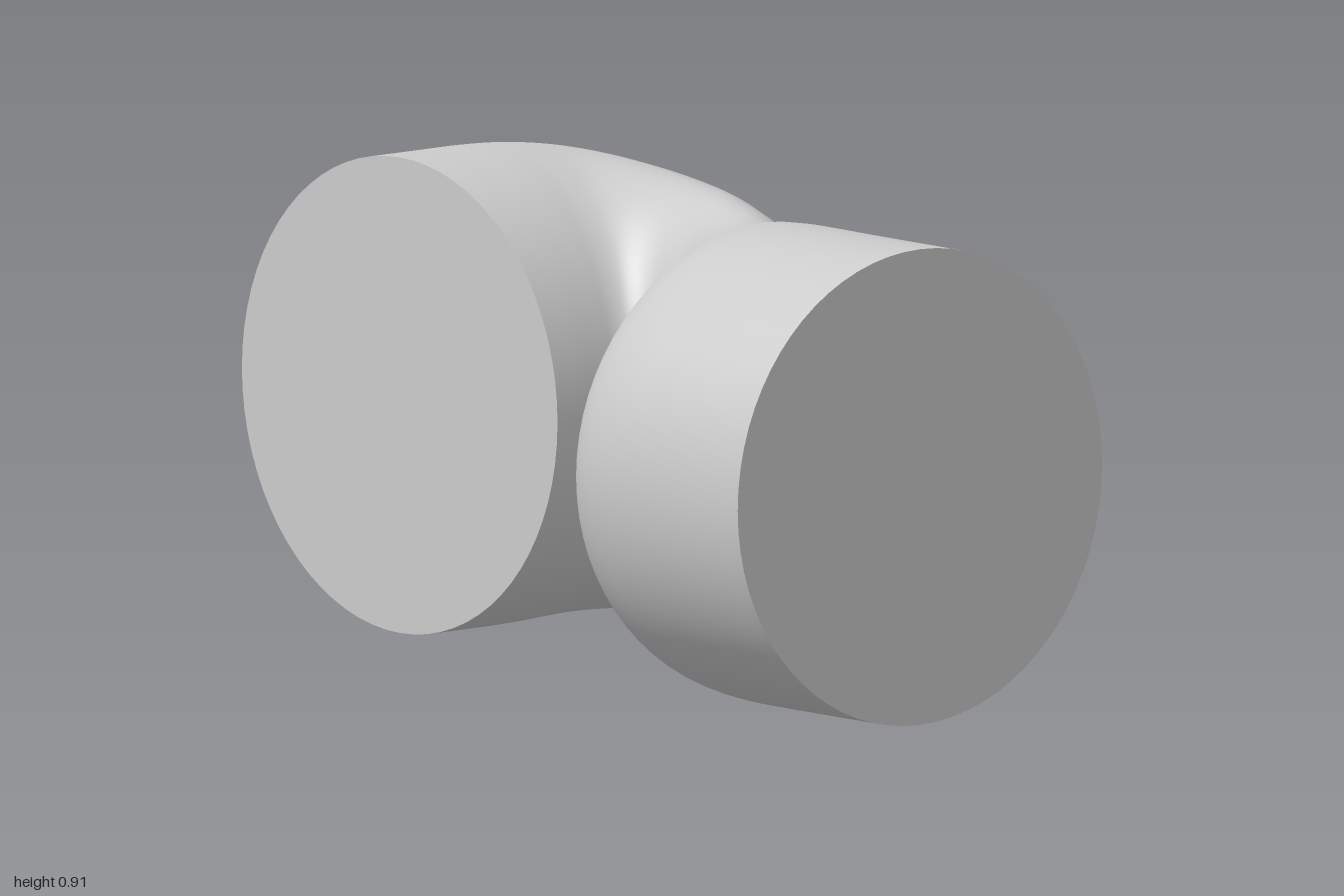
import * as THREE from 'three';

const MID = 0.4525; // height of the centre line
const SIDES = 72, STEPS = 120;

// Cross-sections seen from above: outer x, z, inner x, z, half height
const SECTIONS = [
  [-1, -0.21, -0.13, 0.04, 0.4525],
  [-0.965, -0.33, -0.112, -0.02, 0.4525],
  [-0.92, -0.49, -0.097, -0.075, 0.452],
  [-0.87, -0.635, -0.085, -0.11, 0.447],
  [-0.78, -0.745, -0.065, -0.128, 0.438],
  [-0.6, -0.775, -0.035, -0.133, 0.426],
  [-0.35, -0.735, 0, -0.12, 0.41],
  [-0.1, -0.63, 0.05, -0.085, 0.395],
  [0.1, -0.495, 0.105, 0, 0.385],
  [0.25, -0.365, 0.15, 0.13, 0.39],
  [0.4, -0.275, 0.185, 0.28, 0.41],
  [0.55, -0.225, 0.21, 0.43, 0.433],
  [0.68, -0.19, 0.25, 0.56, 0.447],
  [0.78, -0.16, 0.33, 0.64, 0.452],
  [0.88, -0.132, 0.5, 0.697, 0.4525],
  [1, -0.1, 0.745, 0.765, 0.4525],
];

const spline = (pick) => new THREE.CatmullRomCurve3(SECTIONS.map(pick), false, 'catmullrom', 0.5);
const outer = spline((s) => new THREE.Vector3(s[0], s[4], s[1]));
const inner = spline((s) => new THREE.Vector3(s[2], s[4], s[3]));

// Upright elliptical ring at t along the pipe
function ring(t) {
  const o = outer.getPoint(t), n = inner.getPoint(t), h = o.y;
  const c = o.clone().add(n).multiplyScalar(0.5).setY(MID);
  const u = o.clone().sub(n).multiplyScalar(0.5);
  const points = [];
  for (let j = 0; j < SIDES; j++) {
    const a = (j / SIDES) * Math.PI * 2;
    points.push(new THREE.Vector3(c.x + u.x * Math.cos(a), MID + h * Math.sin(a), c.z + u.z * Math.cos(a)));
  }
  return { c, points };
}

function toGeometry(points, index) {
  const geometry = new THREE.BufferGeometry().setFromPoints(points);
  geometry.setIndex(index);
  geometry.computeVertexNormals();
  return geometry;
}

// Skin joining all the rings
function bodyGeometry() {
  const points = [], index = [];
  for (let i = 0; i <= STEPS; i++) {
    points.push(...ring(i / STEPS).points);
    if (i === STEPS) break;
    for (let j = 0; j < SIDES; j++) {
      const k = (j + 1) % SIDES, a = i * SIDES, b = a + SIDES;
      index.push(a + j, a + k, b + j, a + k, b + k, b + j);
    }
  }
  return toGeometry(points, index);
}

// Flat disc closing one end
function capGeometry(t) {
  const { c, points } = ring(t), index = [];
  for (let j = 0; j < SIDES; j++) {
    const k = (j + 1) % SIDES;
    index.push(SIDES, ...(t === 0 ? [k, j] : [j, k]));
  }
  return toGeometry([...points, c], index);
}

export function createModel() {
  const group = new THREE.Group();
  group.name = 'bentPipe';
  const material = new THREE.MeshStandardMaterial({ color: 0xcccccc });
  const add = (name, geometry) => {
    const mesh = new THREE.Mesh(geometry, material);
    mesh.name = name;
    group.add(mesh);
  };
  add('pipeBody', bodyGeometry());
  add('frontEndCap', capGeometry(0));
  add('sideEndCap', capGeometry(1));
  return group;
}
